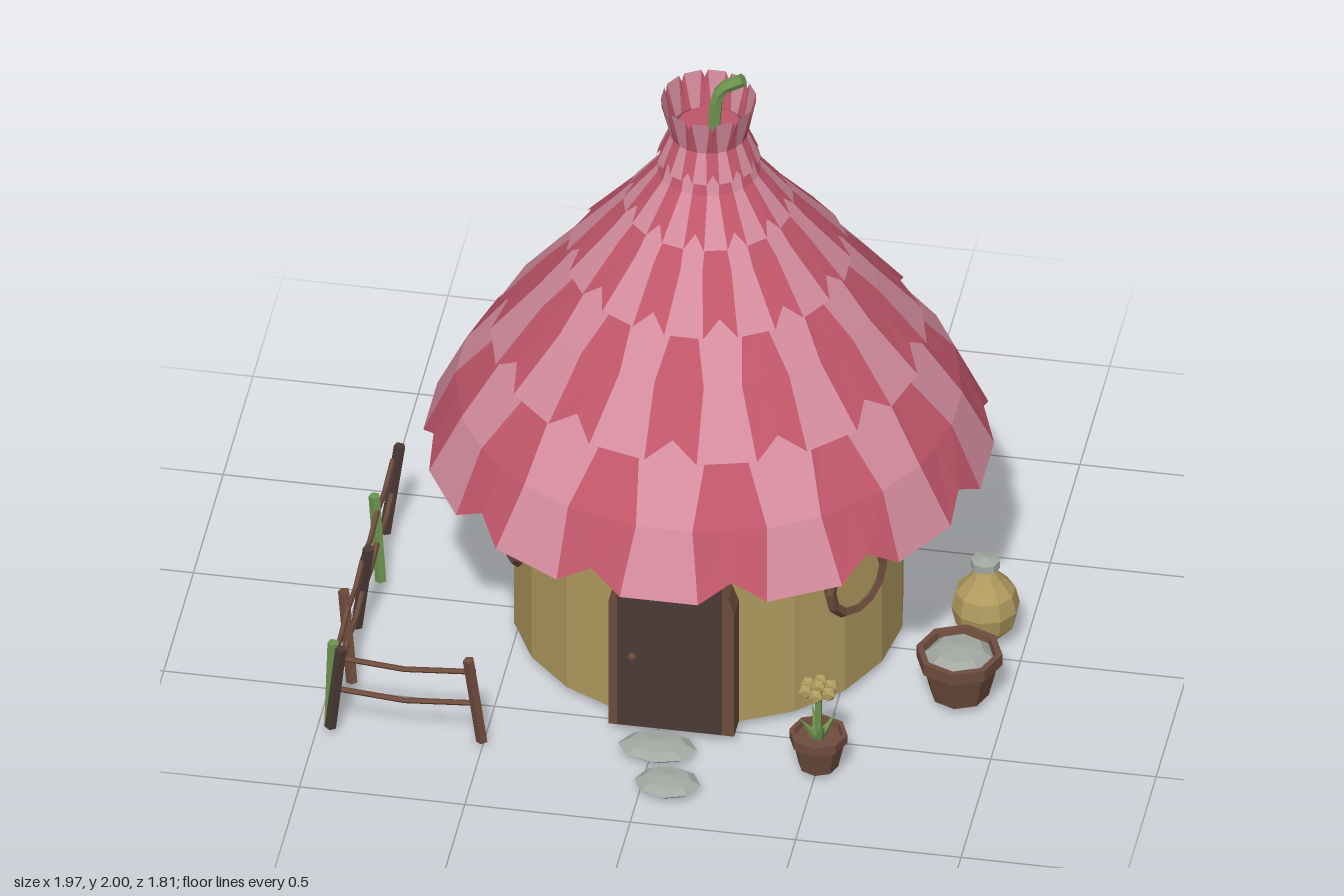
import * as THREE from 'three';

const mat = (name, color, opts = {}) => {
  const m = new THREE.MeshStandardMaterial({ color, flatShading: true, ...opts });
  m.name = name;
  return m;
};

export function createModel() {
  const model = new THREE.Group();
  model.name = 'cottage';
  const both = { side: THREE.DoubleSide };
  const M = {
    light: mat('lightPink', 0xd48c9e, both),
    dark: mat('deepPink', 0xc0566a, both),
    tan: mat('tanPlaster', 0xb09a5e),
    wood: mat('brownWood', 0x6e4c3d),
    door: mat('darkWood', 0x4a3a35),
    green: mat('leafGreen', 0x6f9650, both),
    stone: mat('greyStone', 0xa3a8a2),
  };
  const V = (x, y, z) => new THREE.Vector3(x, y, z);
  const add = (parent, name, geo, material, x = 0, y = 0, z = 0) => {
    const mesh = new THREE.Mesh(geo, material);
    mesh.name = name;
    mesh.position.set(x, y, z);
    parent.add(mesh);
    return mesh;
  };
  const group = (parent, name, x = 0, y = 0, z = 0) => {
    const g = new THREE.Group();
    g.name = name;
    g.position.set(x, y, z);
    parent.add(g);
    return g;
  };
  const lathe = (pts, n) => new THREE.LatheGeometry(pts.map(p => new THREE.Vector2(...p)), n);
  // Straight rod between two points
  const rod = (parent, name, a, b, r, material, n = 6) => {
    const mesh = add(parent, name, new THREE.CylinderGeometry(r, r, a.distanceTo(b), n), material);
    mesh.position.copy(a).add(b).multiplyScalar(0.5);
    mesh.quaternion.setFromUnitVectors(V(0, 1, 0), b.clone().sub(a).normalize());
    return mesh;
  };

  const house = group(model, 'house', 0.045, 0, -0.07);

  // Round wall
  add(house, 'wall', new THREE.CylinderGeometry(0.585, 0.585, 0.82, 20), M.tan, 0, 0.44, 0);

  // Rafter ends under the eaves
  for (let i = 0; i < 10; i++) {
    const a = (i + 0.5) * Math.PI / 5;
    const peg = add(house, 'rafterEnd', new THREE.BoxGeometry(0.03, 0.045, 0.07), M.door,
      Math.sin(a) * 0.6, 0.71, Math.cos(a) * 0.6);
    peg.rotation.y = a;
  }

  // Roof petals: each row is [radius, height] at the hem, middle and top
  const rows = [
    [[0.85, 0.66], [0.755, 0.86], [0.56, 1.11]],
    [[0.65, 1.03], [0.505, 1.21], [0.36, 1.38]],
    [[0.425, 1.33], [0.295, 1.48], [0.15, 1.65]],
    [[0.255, 1.53], [0.155, 1.66], [0.11, 1.79]],
    [[0.155, 1.7], [0.118, 1.79], [0.142, 1.91]],
  ];
  const seamAngle = 15;
  const stripAngle = [8, 6.5, 11];
  const roof = group(house, 'petalRoof');
  rows.forEach((row, k) => {
    const lift = 0.3; // how far the notch between petals climbs towards the middle
    const seam = row.map((p, j) => j ? [p[0] * 0.99, p[1]] : [
      p[0] + (row[1][0] - p[0]) * lift, p[1] + (row[1][1] - p[1]) * lift]);
    if (k === 4) seam[2][1] -= 0.025;
    const pt = ([r, y], deg) => {
      const a = deg * Math.PI / 180;
      return [r * Math.sin(a), y, r * Math.cos(a)];
    };
    const lightPos = [], darkPos = [];
    const quad = (out, bl, br, tr, tl) => out.push(...bl, ...br, ...tr, ...bl, ...tr, ...tl);
    for (let i = 0; i < 12; i++) {
      const c = i * 30 + (k % 2) * 15;
      for (let j = 0; j < 2; j++) {
        const L = n => pt(row[n], c - stripAngle[n]);
        const R = n => pt(row[n], c + stripAngle[n]);
        const SL = n => pt(seam[n], c - seamAngle);
        const SR = n => pt(seam[n], c + seamAngle);
        quad(lightPos, L(j), R(j), R(j + 1), L(j + 1));
        quad(darkPos, SL(j), L(j), L(j + 1), SL(j + 1));
        quad(darkPos, R(j), SR(j), SR(j + 1), R(j + 1));
      }
    }
    [[lightPos, M.light, 'petalCentres'], [darkPos, M.dark, 'petalEdges']].forEach(([pos, m, name]) => {
      const g = new THREE.BufferGeometry();
      g.setAttribute('position', new THREE.Float32BufferAttribute(pos, 3));
      g.computeVertexNormals();
      add(roof, name, g, m);
    });
  });
  // Lining that closes the eaves and the crown
  add(roof, 'roofLining', lathe([[0.57, 0.76], [0.79, 0.735]], 12), M.light);
  add(roof, 'crownFloor', new THREE.CylinderGeometry(0.1, 0.1, 0.01, 12), M.dark, 0, 1.8, 0);

  // Bent stem
  const stem = new THREE.CurvePath();
  const stemPts = [V(0.01, 1.74, 0), V(0.025, 1.92, 0), V(0.045, 1.955, 0), V(0.105, 1.99, 0)];
  for (let i = 0; i < 3; i++) stem.add(new THREE.LineCurve3(stemPts[i], stemPts[i + 1]));
  add(house, 'stem', new THREE.TubeGeometry(stem, 9, 0.02, 6), M.green);
  rod(house, 'stemTip', stemPts[2], stemPts[3], 0.0195, M.green);

  // Arched frame and door
  const arch = (w, h) => {
    const s = new THREE.Shape();
    s.moveTo(-w, 0.03);
    s.lineTo(w, 0.03);
    s.lineTo(w, h - 0.15);
    s.quadraticCurveTo(w * 0.85, h, 0, h);
    s.quadraticCurveTo(-w * 0.85, h, -w, h - 0.15);
    s.closePath();
    return s;
  };
  const extrude = (s, depth) => new THREE.ExtrudeGeometry(s, { depth, bevelEnabled: false, curveSegments: 5 });
  const frame = arch(0.19, 0.63);
  frame.holes.push(arch(0.145, 0.59));
  add(house, 'doorFrame', extrude(frame, 0.13), M.wood, 0, 0, 0.5);
  add(house, 'doorLintel', extrude(arch(0.12, 0.645), 0.1), M.tan, 0, 0, 0.5);
  add(house, 'door', new THREE.BoxGeometry(0.315, 0.57, 0.06), M.door, -0.005, 0.325, 0.612);
  add(house, 'doorKnob', new THREE.IcosahedronGeometry(0.014, 0), M.wood, -0.115, 0.3, 0.65);

  // Round windows
  [57, -66].forEach(deg => {
    const a = deg * Math.PI / 180;
    const win = group(house, 'window', Math.sin(a) * 0.59, 0.44, Math.cos(a) * 0.59);
    win.rotation.y = a;
    add(win, 'windowFrame', new THREE.TorusGeometry(0.112, 0.019, 5, 12), M.wood, 0, 0, 0.01);
    const pane = add(win, 'windowPane', new THREE.CylinderGeometry(0.11, 0.11, 0.03, 12), M.tan);
    pane.rotation.x = Math.PI / 2;
  });

  // Stepping stones
  [[0.08, 0.82, 0.1, 0.08], [0.02, 0.65, 0.12, 0.08]].forEach(([x, z, rx, rz]) => {
    const s = add(model, 'steppingStone', new THREE.SphereGeometry(1, 8, 4), M.stone, x, 0.03, z);
    s.scale.set(rx, 0.027, rz);
  });

  // Pots share one flared shape
  const pot = (parent, r, h) => add(parent, 'pot', lathe([
    [0, 0], [r * 0.68, 0], [r * 0.9, h * 0.75], [r, h * 0.75], [r, h], [r * 0.85, h], [r * 0.8, h * 0.85], [0, h * 0.85],
  ], 8), M.wood);

  // Large bowl with a grey lid
  const bowl = group(model, 'largePot', 0.855, 0.03, 0.22);
  pot(bowl, 0.13, 0.155);
  add(bowl, 'stoneFill', new THREE.SphereGeometry(0.105, 8, 4), M.stone, 0, 0.135, 0).scale.y = 0.34;

  // Flask with a grey stopper
  const flask = group(model, 'flask', 0.88, 0.03, -0.08);
  add(flask, 'flaskBody', lathe([[0, 0], [0.05, 0.005], [0.09, 0.05], [0.103, 0.11],
    [0.09, 0.165], [0.05, 0.21], [0.03, 0.24], [0, 0.24]], 10), M.tan);
  add(flask, 'stopper', lathe([[0, 0.215], [0.028, 0.22], [0.028, 0.24], [0.044, 0.25], [0.044, 0.275], [0, 0.285]], 8), M.stone);

  // Potted flower
  const flower = group(model, 'pottedFlower', 0.505, 0.025, 0.645);
  pot(flower, 0.088, 0.12);
  rod(flower, 'flowerStem', V(0, 0.09, 0), V(0, 0.275, 0), 0.011, M.green);
  for (let i = 0; i < 4; i++) {
    const a = i * Math.PI / 2 + 0.5;
    const leaf = add(flower, 'leaf', new THREE.ConeGeometry(0.018, 0.1, 4), M.green,
      Math.sin(a) * 0.03, 0.14, Math.cos(a) * 0.03);
    leaf.rotation.set(0.6, a, 0, 'YXZ');
  }
  for (let i = 0; i < 7; i++) {
    const a = i * Math.PI / 3, r = i < 6 ? 0.04 : 0;
    add(flower, 'blossom', new THREE.IcosahedronGeometry(0.024, 0), M.tan,
      Math.sin(a) * r, r ? 0.28 : 0.288, Math.cos(a) * r);
  }

  // Fence: slightly leaning posts and sagging rails
  const fence = group(model, 'fence');
  const posts = [
    [-0.95, -0.29, 0.02, -0.01, M.door], [-0.95, -0.04, -0.01, 0, M.green], [-0.95, 0.21, 0.02, 0.012, M.door],
    [-0.95, 0.46, -0.015, -0.015, M.wood], [-0.955, 0.705, 0.005, 0, M.green],
    [-0.94, 0.72, 0.018, 0.012, M.door], [-0.52, 0.71, -0.018, 0.012, M.wood],
  ];
  posts.forEach(([x, z, dx, dz, m]) =>
    rod(fence, 'fencePost', V(x - dx, 0.02, z - dz), V(x + dx, 0.33, z + dz), 0.018, m, 5));
  const corners = [[-0.95, -0.29], [-0.95, -0.04], [-0.95, 0.21], [-0.95, 0.46], [-0.95, 0.71], [-0.52, 0.71]];
  for (let i = 0; i < 5; i++) {
    const [x0, z0] = corners[i], [x1, z1] = corners[i + 1];
    [0.28, 0.165].forEach(y => {
      const mid = V((x0 + x1) / 2, y - 0.018, (z0 + z1) / 2);
      rod(fence, 'fenceRail', V(x0, y, z0), mid, 0.009, M.wood, 5);
      rod(fence, 'fenceRail', mid, V(x1, y, z1), 0.009, M.wood, 5);
    });
  }
  return model;
}
